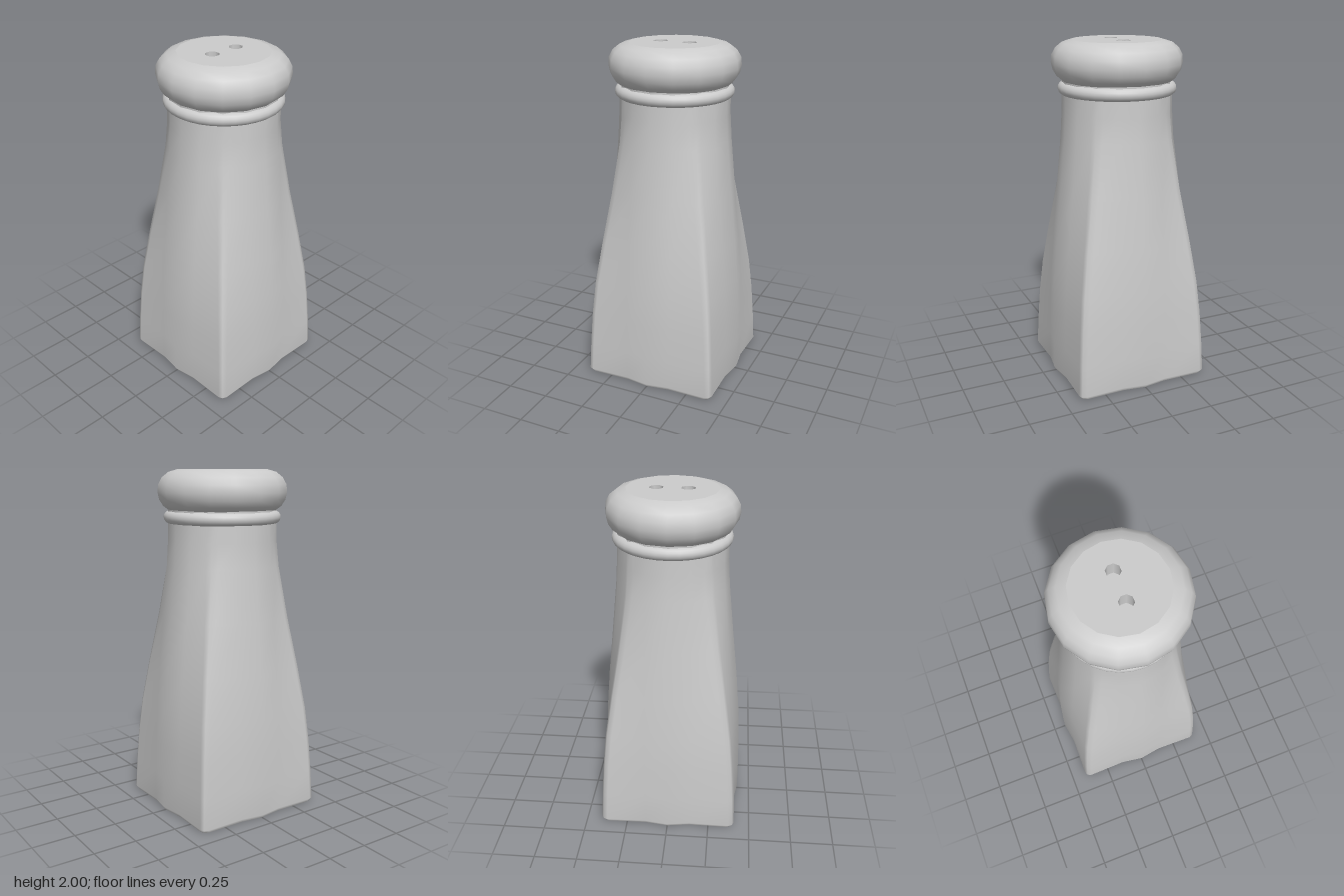
import * as THREE from 'three';

const material = new THREE.MeshStandardMaterial({ color: 0xcccccc, side: THREE.DoubleSide });

function addMesh(parent, name, geometry) {
  const mesh = new THREE.Mesh(geometry, material);
  mesh.name = name;
  parent.add(mesh);
  return mesh;
}

// Body sections: height, mid-face reach, shoulder offset, shoulder reach, corner reach, corner rounding
const SECTIONS = [
  [0, 0.412, 0.135, 0.392, 0.396, 0.035],
  [0.02, 0.424, 0.135, 0.403, 0.408, 0.035],
  [0.2, 0.423, 0.135, 0.4, 0.4, 0.035],
  [0.4, 0.42, 0.135, 0.394, 0.388, 0.036],
  [0.6, 0.411, 0.135, 0.384, 0.37, 0.038],
  [0.85, 0.39, 0.133, 0.362, 0.335, 0.04],
  [1.15, 0.358, 0.13, 0.333, 0.289, 0.043],
  [1.45, 0.328, 0.125, 0.305, 0.25, 0.046],
  [1.6, 0.319, 0.122, 0.296, 0.241, 0.05],
  [1.79, 0.317, 0.121, 0.293, 0.239, 0.052],
];

// One closed loop: a quarter outline turned four times
function sectionLoop([y, mid, offset, shoulder, c, r]) {
  let quarter = [
    [0, mid], [offset, shoulder],
    [c - r, c], [c - 0.3 * r, c - 0.3 * r], [c, c - r],
    [shoulder, offset],
  ];
  const loop = [];
  for (let q = 0; q < 4; q++) {
    for (const [x, z] of quarter) loop.push([x, y, z]);
    quarter = quarter.map(([x, z]) => [z, -x]);
  }
  return loop;
}

function bodyGeometry() {
  const loops = SECTIONS.map(sectionLoop);
  const n = loops[0].length;
  const positions = loops.flat(2);
  const index = [];
  for (let j = 0; j < loops.length - 1; j++) {
    for (let i = 0; i < n; i++) {
      const a = j * n + i, b = j * n + (i + 1) % n;
      index.push(a, b, b + n, a, b + n, a + n);
    }
  }
  // Flat base with its own vertices, so its edge stays sharp
  const base = positions.length / 3;
  positions.push(...loops[0].flat(), 0, 0, 0);
  for (let i = 0; i < n; i++) index.push(base + n, base + (i + 1) % n, base + i);

  const geometry = new THREE.BufferGeometry();
  geometry.setAttribute('position', new THREE.Float32BufferAttribute(positions, 3));
  geometry.setIndex(index);
  geometry.computeVertexNormals();
  return geometry;
}

const polygon = (radius, sides, cx = 0, cy = 0, turn = 0) =>
  Array.from({ length: sides }, (_, i) => {
    const a = turn + (i / sides) * Math.PI * 2;
    return new THREE.Vector2(cx + radius * Math.cos(a), cy + radius * Math.sin(a));
  });

export function createModel() {
  const model = new THREE.Group();
  model.name = 'shaker';

  addMesh(model, 'body', bodyGeometry());

  // Rounded collar below the cap
  const collarProfile = [];
  for (let i = 0; i <= 8; i++) {
    const a = -Math.PI / 2 + (i / 8) * Math.PI;
    collarProfile.push(new THREE.Vector2(0.305 + 0.036 * Math.cos(a), 1.73 + 0.036 * Math.sin(a)));
  }
  addMesh(model, 'collar', new THREE.LatheGeometry(collarProfile, 32));

  // Domed cap wall
  const cap = new THREE.Group();
  cap.name = 'cap';
  model.add(cap);
  const topRadius = 0.26;
  const capProfile = [
    [0.29, 1.765], [0.315, 1.772], [0.345, 1.795], [0.367, 1.83], [0.376, 1.87],
    [0.372, 1.915], [0.35, 1.955], [0.312, 1.985], [topRadius, 2],
  ].map(([r, y]) => new THREE.Vector2(r, y));
  addMesh(cap, 'capWall', new THREE.LatheGeometry(capProfile, 16));

  // Flat cap top pierced by two octagonal pour holes
  const holeRadius = 0.041, holeDepth = 0.1, holeZ = [-0.09, 0.086];
  const top = new THREE.Shape(polygon(topRadius, 16));
  for (const z of holeZ) top.holes.push(new THREE.Path(polygon(holeRadius, 8, 0, -z, Math.PI / 8)));
  const topGeometry = new THREE.ShapeGeometry(top);
  topGeometry.rotateX(-Math.PI / 2);
  addMesh(cap, 'capTop', topGeometry).position.y = 2;

  for (const z of holeZ) {
    const wall = new THREE.CylinderGeometry(holeRadius, holeRadius, holeDepth, 8, 1, true);
    wall.rotateY(Math.PI / 8);
    addMesh(cap, 'holeWall', wall).position.set(0, 2 - holeDepth / 2, z);
    const floor = new THREE.CircleGeometry(holeRadius, 8, Math.PI / 8);
    floor.rotateX(-Math.PI / 2);
    addMesh(cap, 'holeFloor', floor).position.set(0, 2 - holeDepth, z);
  }

  return model;
}
